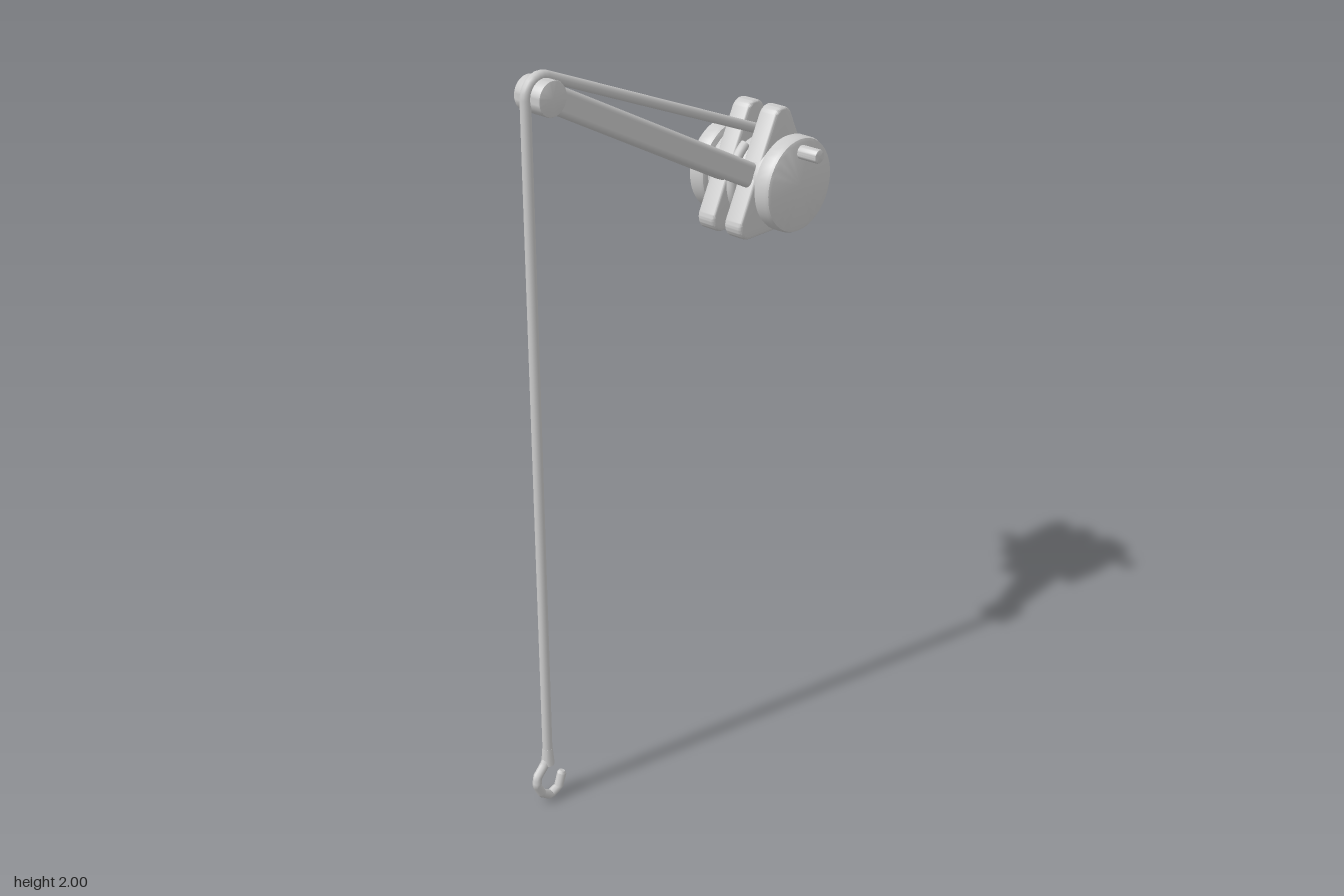
import * as THREE from 'three';
import { toCreasedNormals } from 'three/addons/utils/BufferGeometryUtils.js';
import { RoundedBoxGeometry } from 'three/addons/geometries/RoundedBoxGeometry.js';

const material = new THREE.MeshStandardMaterial({ color: 0xcccccc });
const drum = new THREE.Vector3(0, 1.572, -0.357);
const pulley = new THREE.Vector3(0, 1.942, 0.41);
const drumR = 0.112, pulleyR = 0.046, ropeR = 0.0135;

function add(parent, name, geometry, x = 0, y = 0, z = 0) {
  const mesh = new THREE.Mesh(geometry, material);
  mesh.name = name;
  mesh.position.set(x, y, z);
  parent.add(mesh);
  return mesh;
}

// Closed cylinder along x with a small chamfer on both rims
function disc(radius, width, bevel, segments = 40) {
  const h = width / 2;
  const profile = [[0, -h], [radius - bevel, -h], [radius - bevel * 0.3, -h + bevel * 0.3], [radius, -h + bevel],
    [radius, h - bevel], [radius - bevel * 0.3, h - bevel * 0.3], [radius - bevel, h], [0, h]]
    .map(([a, b]) => new THREE.Vector2(a, b));
  const g = new THREE.LatheGeometry(profile, segments);
  g.rotateZ(-Math.PI / 2);
  return toCreasedNormals(g, 0.65);
}

// Triangular plate with rounded corners, lying in the yz plane
function sidePlate() {
  const bevel = 0.008, r = 0.037 - bevel;
  const edge = Math.atan2(0.122, 0.253);
  const s = new THREE.Shape();
  s.absarc(0.122, -0.095, r, -Math.PI / 2, edge, false);
  s.absarc(0, 0.158, r, edge, Math.PI - edge, false);
  s.absarc(-0.122, -0.095, r, Math.PI - edge, Math.PI * 1.5, false);
  const g = new THREE.ExtrudeGeometry(s, {
    depth: 0.057 - 2 * bevel, bevelThickness: bevel, bevelSize: bevel, bevelSegments: 3, curveSegments: 10,
  });
  g.center();
  g.rotateY(-Math.PI / 2);
  g.translate(0, 0.0315, 0);
  return toCreasedNormals(g, 0.65);
}

// Rope path: round the drum, along the outer tangent, over the pulley and down
function ropePath() {
  const pts = [];
  const dz = pulley.z - drum.z, dy = pulley.y - drum.y;
  const tangent = Math.atan2(dy, dz) + Math.acos((drumR - pulleyR) / Math.hypot(dz, dy));
  const arc = (c, r, a0, a1, n) => {
    for (let i = 0; i <= n; i++) {
      const a = a0 + (a1 - a0) * i / n;
      pts.push(new THREE.Vector3(0, c.y + r * Math.sin(a), c.z + r * Math.cos(a)));
    }
  };
  arc(drum, drumR, tangent + Math.PI * 1.7, tangent, 36);
  arc(pulley, pulleyR, tangent, 0, 14);
  pts.push(new THREE.Vector3(0, 0.15, pulley.z + pulleyR));
  const path = new THREE.CurvePath();
  for (let i = 1; i < pts.length; i++) path.add(new THREE.LineCurve3(pts[i - 1], pts[i]));
  return path;
}

export function createModel() {
  const model = new THREE.Group();
  model.name = 'hoist';

  // Winch: central hub plus mirrored plates, wheels and crank handles
  const winch = new THREE.Group();
  winch.name = 'winch';
  winch.position.copy(drum);
  model.add(winch);
  add(winch, 'hub', disc(0.1, 0.06, 0.004));
  for (const side of [-1, 1]) {
    add(winch, 'sidePlate', sidePlate(), side * 0.0465);
    add(winch, 'spacer', disc(0.108, 0.04, 0.006), side * 0.07);
    add(winch, 'wheel', disc(0.127, 0.053, 0.012), side * 0.1125);
    add(winch, 'crankHandle', disc(0.0185, 0.08, 0.004, 20), side * 0.159, side > 0 ? 0.09 : -0.068, 0);
  }

  // Two boom arms converging on the pulley
  for (const side of [-1, 1]) {
    const rear = new THREE.Vector3(side * 0.047, 1.562, -0.34);
    const tip = new THREE.Vector3(side * 0.001, 1.942, 0.4);
    const arm = add(model, 'boomArm', new RoundedBoxGeometry(0.048, 0.066, rear.distanceTo(tip), 3, 0.014));
    arm.position.copy(rear).lerp(tip, 0.5);
    arm.lookAt(tip);
  }

  // Pulley pin at the boom tip
  add(model, 'pulley', disc(0.043, 0.086, 0.003), 0, pulley.y, pulley.z);

  // Rope
  add(model, 'rope', new THREE.TubeGeometry(ropePath(), 260, ropeR, 12));

  // Collar and hook
  const ropeZ = pulley.z + pulleyR;
  add(model, 'hookCollar', new THREE.CylinderGeometry(0.014, 0.018, 0.05, 10), 0, 0.145, ropeZ);
  const hookPoints = [[0.457, 0.14], [0.468, 0.122], [0.494, 0.096], [0.498, 0.069], [0.481, 0.036],
    [0.452, 0.015], [0.42, 0.027], [0.407, 0.064]].map(([z, y]) => new THREE.Vector3(0, y, z));
  const hookPath = new THREE.CurvePath();
  for (let i = 1; i < hookPoints.length; i++) hookPath.add(new THREE.LineCurve3(hookPoints[i - 1], hookPoints[i]));
  add(model, 'hook', new THREE.TubeGeometry(hookPath, 24, 0.0125, 8));
  const tip = hookPoints[7];
  const cap = add(model, 'hookTip', new THREE.CylinderGeometry(0.009, 0.0125, 0.008, 8), 0, tip.y + 0.003, tip.z);
  cap.rotation.x = -0.33;

  return model;
}
